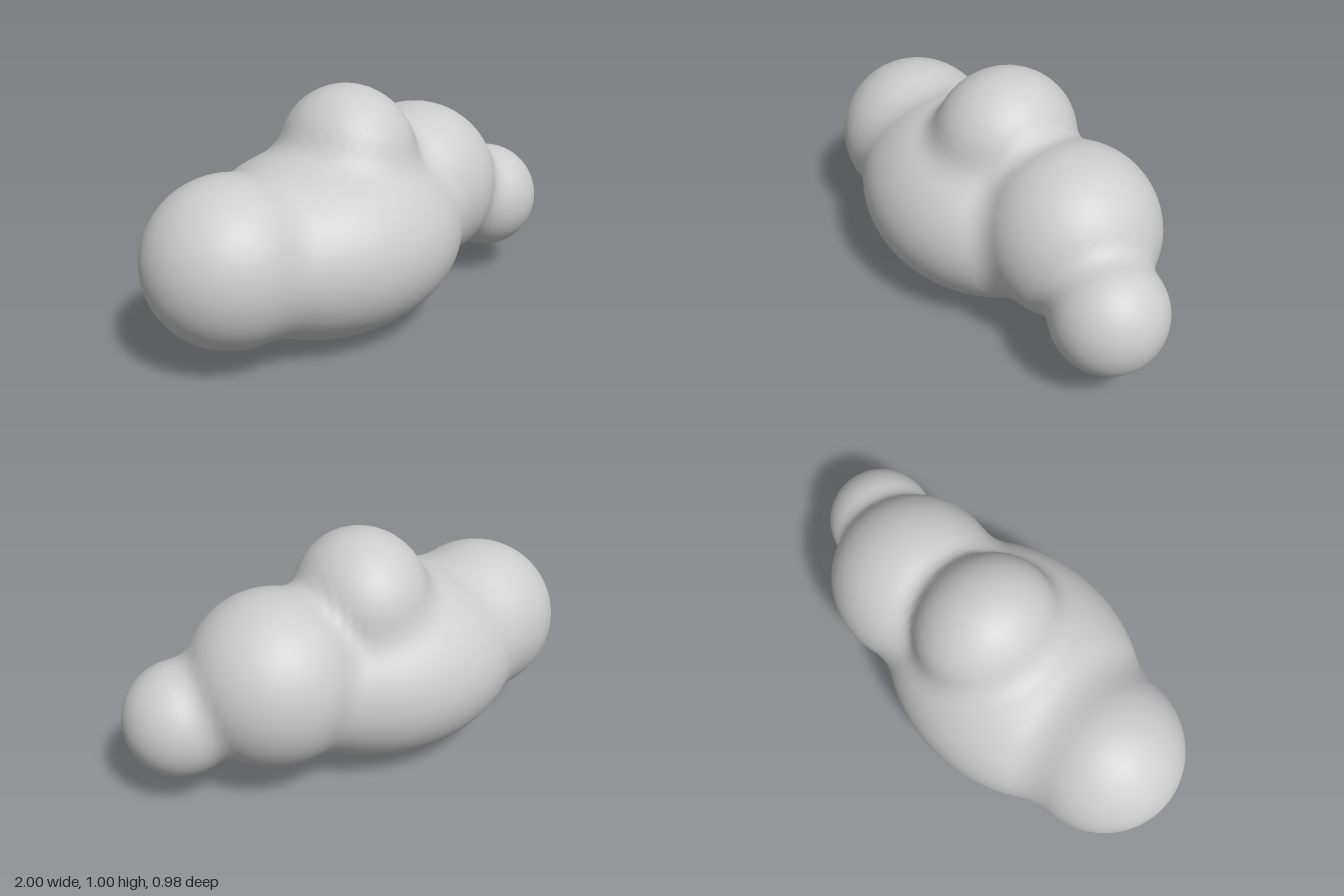
import * as THREE from 'three';

// Puffs of the cloud: centre and radii of each ellipsoid
const PUFFS = [
  { c: [-0.65, 0.44, 0.04], r: [0.35, 0.34, 0.34] },   // right end lobe
  { c: [-0.15, 0.40, 0.0], r: [0.60, 0.395, 0.49] },   // broad belly
  { c: [-0.02, 0.71, -0.04], r: [0.28, 0.30, 0.305] }, // crown
  { c: [0.40, 0.49, -0.085], r: [0.36, 0.36, 0.36] },  // shoulder
  { c: [0.77, 0.365, 0.0], r: [0.23, 0.235, 0.232] },  // left end knob
];
const BLEND = 0.07;

// Approximate signed distance to one ellipsoid
function puffDistance({ c, r }, p) {
  const d = p.map((v, i) => v - c[i]);
  const k0 = Math.hypot(...d.map((v, i) => v / r[i]));
  const k1 = Math.hypot(...d.map((v, i) => v / (r[i] * r[i])));
  return k1 < 1e-6 ? -Math.min(...r) : (k0 * (k0 - 1)) / k1;
}

// Soft union of all puffs
function field(p) {
  return PUFFS.map((puff) => puffDistance(puff, p)).reduce((a, b) => {
    const h = Math.max(BLEND - Math.abs(a - b), 0) / BLEND;
    return Math.min(a, b) - (h * h * BLEND) / 4;
  });
}

// Spine inside the cloud, from which every cross-section is grown: x, y, z
const SPINE = [[-1, 0.44, 0.04], [-0.65, 0.44, 0.04], [-0.1, 0.47, -0.01],
  [0.4, 0.47, -0.06], [0.72, 0.38, -0.01], [1.001, 0.365, 0]];

function spineAt(x) {
  const i = Math.max(1, SPINE.findIndex((s) => s[0] >= x));
  const a = SPINE[i - 1], b = SPINE[i];
  const t = (x - a[0]) / (b[0] - a[0]);
  return [a[1] + (b[1] - a[1]) * t, a[2] + (b[2] - a[2]) * t];
}

// Sphere with poles on x, each ring pushed out to the blended surface
function cloudGeometry() {
  const geo = new THREE.SphereGeometry(1, 80, 110).rotateZ(-Math.PI / 2);
  const pos = geo.attributes.position, nor = geo.attributes.normal;
  const n = new THREE.Vector3();
  for (let i = 0; i < pos.count; i++) {
    const x = THREE.MathUtils.clamp(pos.getX(i), -1, 1);
    const angle = Math.atan2(pos.getZ(i), pos.getY(i));
    const [cy, cz] = spineAt(x);
    const at = (r) => [x, cy + r * Math.cos(angle), cz + r * Math.sin(angle)];
    let lo = 0, hi = 0.8;
    if (Math.abs(x) > 0.99999) hi = 0;
    for (let k = 0; k < 24; k++) {
      const mid = (lo + hi) / 2;
      if (field(at(mid)) < 0) lo = mid; else hi = mid;
    }
    const p = at(lo);
    pos.setXYZ(i, ...p);
    // Smooth normal from the slope of the field
    const slope = [0, 1, 2].map((a) => {
      const q = [...p], s = [...p];
      q[a] += 0.004;
      s[a] -= 0.004;
      return field(q) - field(s);
    });
    n.set(...slope).normalize();
    nor.setXYZ(i, n.x, n.y, n.z);
  }
  return geo;
}

export function createModel() {
  const group = new THREE.Group();
  group.name = 'cloud';
  const cloudGrey = new THREE.MeshStandardMaterial({ color: 0xcccccc });
  cloudGrey.name = 'cloudGrey';
  const body = new THREE.Mesh(cloudGeometry(), cloudGrey);
  body.name = 'cloudBody';
  group.add(body);
  return group;
}
